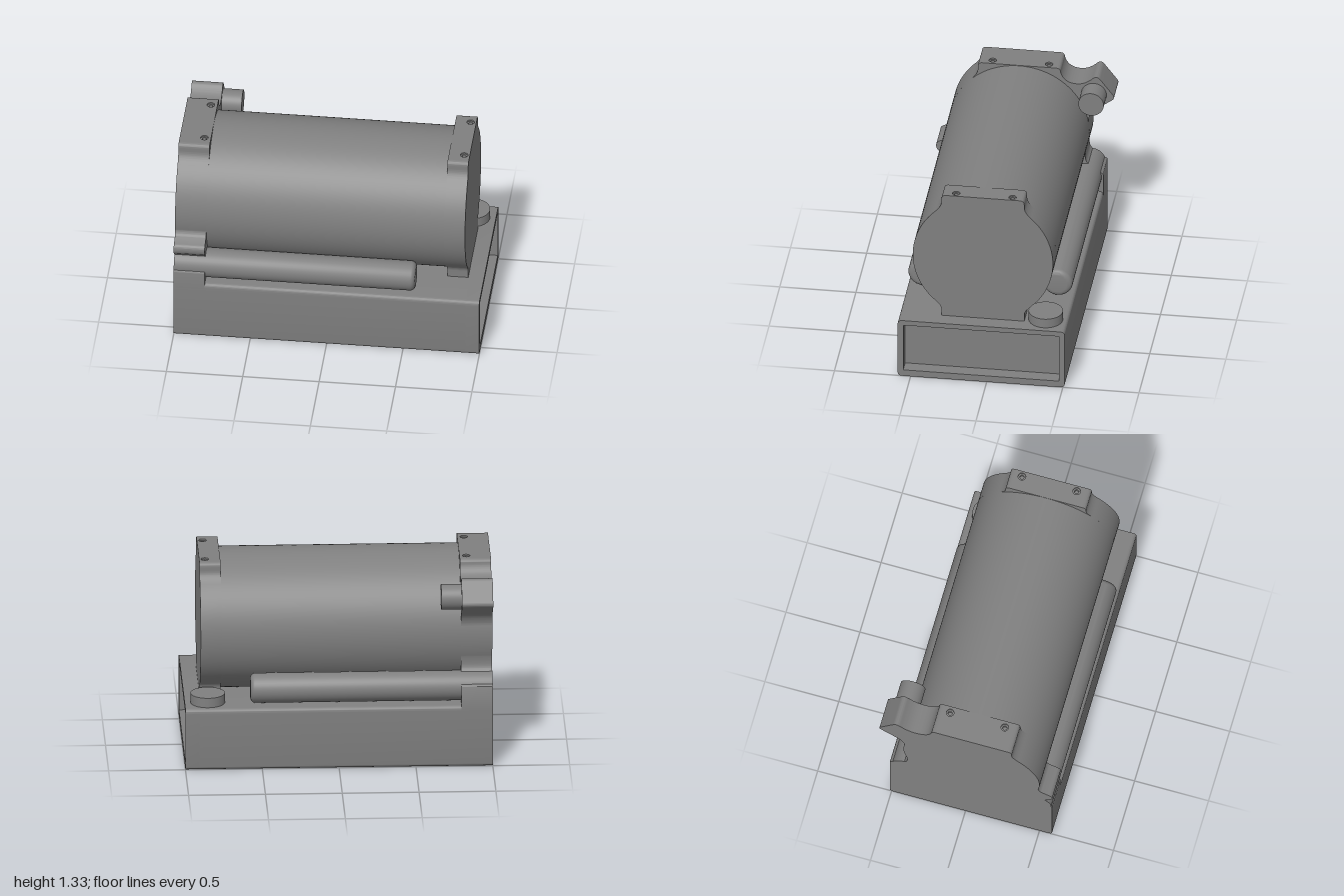
import * as THREE from 'three';
import { toCreasedNormals } from 'three/addons/utils/BufferGeometryUtils.js';

const grey = new THREE.MeshStandardMaterial({ color: 0x808080 });
const thinGrey = new THREE.MeshStandardMaterial({ color: 0x808080, side: THREE.DoubleSide });
const rad = THREE.MathUtils.degToRad;

// Drum axis and radius; profiles are drawn with u = -z, v = y
const CU = -0.04, CY = 0.865, R = 0.46;
const HALF = 0.272, TOP = 1.328, PAD = 0.03;

export function createModel() {
  const group = new THREE.Group();

  const add = (name, geometry, x = 0, y = 0, z = 0, material = grey) => {
    const mesh = new THREE.Mesh(geometry, material);
    mesh.name = name;
    mesh.position.set(x, y, z);
    group.add(mesh);
  };

  // Extrude a (u, v) profile along x from x0 to x1
  const extrudeX = (name, shape, x0, x1) => {
    const g = new THREE.ExtrudeGeometry(shape, { depth: x1 - x0, bevelEnabled: false, curveSegments: 24 });
    g.rotateY(Math.PI / 2);
    add(name, toCreasedNormals(g, rad(30)), x0);
  };

  // Cylinder lying along x
  const cylinderX = (name, r, x0, x1, y, z) => add(name,
    new THREE.CylinderGeometry(r, r, x1 - x0, 96).rotateZ(-Math.PI / 2), (x0 + x1) / 2, y, z);

  const roundedRect = (path, u0, v0, u1, v1, r) => {
    path.moveTo(u0 + r, v0);
    path.lineTo(u1 - r, v0).quadraticCurveTo(u1, v0, u1, v0 + r);
    path.lineTo(u1, v1 - r).quadraticCurveTo(u1, v1, u1 - r, v1);
    path.lineTo(u0 + r, v1).quadraticCurveTo(u0, v1, u0, v1 - r);
    path.lineTo(u0, v0 + r).quadraticCurveTo(u0, v0, u0 + r, v0);
    return path;
  };

  // Base box with a shallow recess in its +x end
  const outline = () => roundedRect(new THREE.Shape(), -0.585, 0, 0.512, 0.418, 0.03);
  extrudeX('base', outline(), -1, 0.91);
  const rim = outline();
  rim.holes.push(new THREE.Path([[-0.548, 0.045], [-0.548, 0.383], [0.475, 0.383], [0.475, 0.045]]
    .map(([u, v]) => new THREE.Vector2(u, v))));
  extrudeX('baseRim', rim, 0.91, 1);

  // Motor drum, between the two plates
  cylinderX('drum', R, -0.797, 0.76, CY, -CU);

  // Plate top: left shoulder, slot for the screw pad, right corner
  const plateTop = (s) => {
    s.quadraticCurveTo(CU - HALF, 1.24, CU - HALF, 1.275);
    s.lineTo(CU - HALF, TOP - PAD);
    s.quadraticCurveTo(CU - HALF, TOP, CU - HALF + PAD, TOP);
    s.lineTo(CU - HALF + PAD, TOP - PAD);
    s.lineTo(CU + HALF - PAD, TOP - PAD);
    s.lineTo(CU + HALF - PAD, TOP);
    s.quadraticCurveTo(CU + HALF, TOP, CU + HALF, TOP - PAD);
  };

  // Symmetrical plate on a narrow foot
  const front = new THREE.Shape();
  front.moveTo(CU - HALF, 0.4);
  front.lineTo(CU - HALF, 0.46);
  front.quadraticCurveTo(CU - HALF, 0.49, CU - 0.295, 0.51);
  front.absarc(CU, CY, R, rad(220), rad(134), true);
  plateTop(front);
  front.lineTo(CU + HALF, 1.275);
  front.quadraticCurveTo(CU + HALF, 1.24, CU + R * Math.cos(rad(46)), CY + R * Math.sin(rad(46)));
  front.absarc(CU, CY, R, rad(46), rad(-40), true);
  front.lineTo(CU + 0.295, 0.51);
  front.quadraticCurveTo(CU + HALF, 0.49, CU + HALF, 0.46);
  front.lineTo(CU + HALF, 0.4);
  extrudeX('endPlate', front, 0.76, 0.897);

  // Full-width plate with a small lug and a large connector lug
  const rear = new THREE.Shape();
  rear.moveTo(-0.585, 0.38);
  rear.lineTo(-0.585, 0.49);
  rear.quadraticCurveTo(-0.585, 0.515, -0.565, 0.515);
  rear.lineTo(-0.48, 0.53);
  rear.lineTo(-0.535, 0.608);
  rear.lineTo(-0.575, 0.645);
  rear.quadraticCurveTo(-0.588, 0.66, -0.585, 0.685);
  rear.quadraticCurveTo(-0.582, 0.705, -0.56, 0.713);
  rear.lineTo(-0.52, 0.73);
  rear.quadraticCurveTo(-0.497, 0.74, CU + R * Math.cos(rad(192)), CY + R * Math.sin(rad(192)));
  rear.absarc(CU, CY, R, rad(192), rad(134), true);
  plateTop(rear);
  rear.bezierCurveTo(0.245, 1.25, 0.28, 1.22, 0.34, 1.22);
  rear.quadraticCurveTo(0.39, 1.22, 0.44, 1.265);
  rear.quadraticCurveTo(0.47, 1.295, 0.493, 1.262);
  rear.lineTo(0.575, 1.155);
  rear.quadraticCurveTo(0.592, 1.133, 0.57, 1.115);
  rear.lineTo(0.46, 1.035);
  rear.quadraticCurveTo(0.42, 1.005, CU + R * Math.cos(rad(10)), CY + R * Math.sin(rad(10)));
  rear.absarc(CU, CY, R, rad(10), rad(-18), true);
  rear.quadraticCurveTo(0.385, 0.65, 0.41, 0.625);
  rear.quadraticCurveTo(0.45, 0.575, 0.495, 0.56);
  rear.quadraticCurveTo(0.512, 0.555, 0.512, 0.54);
  rear.lineTo(0.512, 0.38);
  extrudeX('mountingPlate', rear, -1, -0.797);

  // Screw pads with two stepped holes each, set into the plate tops
  const sleeve = [[0.025, -0.01], [0.014, -0.01], [0.014, -PAD]].map(([r, y]) => new THREE.Vector2(r, y));
  for (const [x0, x1, hx] of [[-1, -0.797, -0.84], [0.76, 0.897, 0.86]]) {
    const u0 = CU - HALF + PAD, u1 = CU + HALF - PAD;
    const pad = new THREE.Shape([[x0, u0], [x1, u0], [x1, u1], [x0, u1]]
      .map(([x, u]) => new THREE.Vector2(x, u)));
    for (const hz of [-0.15, 0.22]) {
      pad.holes.push(new THREE.Path().absarc(hx, -hz, 0.025, 0, Math.PI * 2, true));
      add('screwSleeve', toCreasedNormals(new THREE.LatheGeometry(sleeve, 24), rad(35)), hx, TOP, hz, thinGrey);
    }
    const g = new THREE.ExtrudeGeometry(pad, { depth: PAD, bevelEnabled: false });
    add('screwPad', g.rotateX(-Math.PI / 2), 0, TOP - PAD, 0);
  }

  // Side tubes with rounded ends
  const tube = [[0, -1], [0.0975, -1], [0.0975, 0.54]];
  for (let i = 1; i <= 6; i++) {
    const a = (i / 6) * Math.PI / 2;
    tube.push([0.0625 + 0.035 * Math.cos(a), 0.54 + 0.035 * Math.sin(a)]);
  }
  tube.push([0, 0.575]);
  for (const z of [0.481, -0.403]) {
    const g = new THREE.LatheGeometry(tube.map(([r, y]) => new THREE.Vector2(r, y)), 40);
    add('sideTube', toCreasedNormals(g.rotateZ(-Math.PI / 2), rad(35)), 0, 0.524, z);
  }

  // Connector stub on the large lug and round cap on the base
  cylinderX('connector', 0.083, -0.82, -0.665, 1.15, -0.45);
  add('cap', new THREE.CylinderGeometry(0.112, 0.112, 0.084, 48), 0.85, 0.441, -0.367);

  return group;
}
